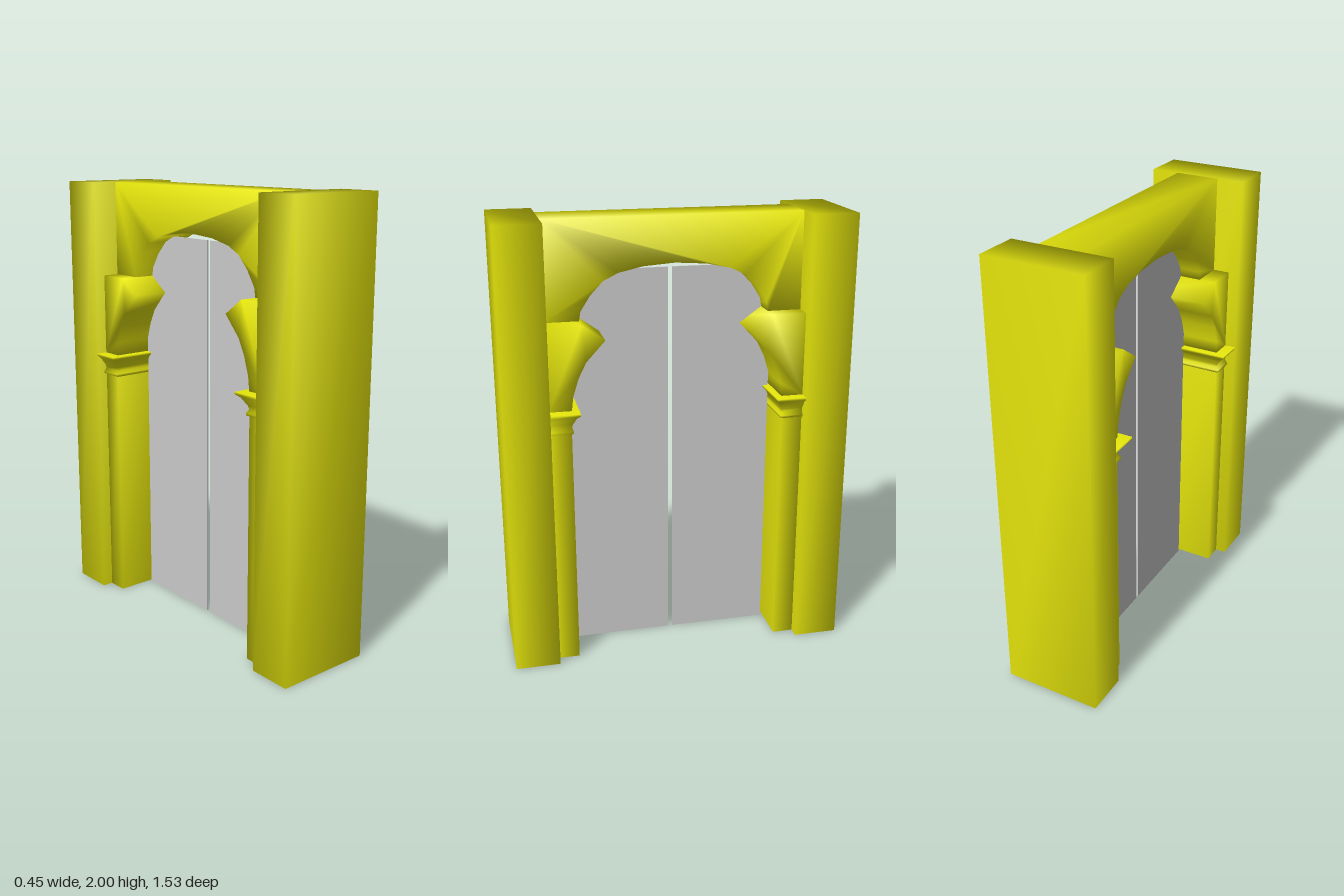
import * as THREE from 'three';
import { mergeVertices } from 'three/addons/utils/BufferGeometryUtils.js';

// Share corners so the shading runs smoothly over the edges
function smooth(geometry) {
  geometry.deleteAttribute('normal');
  geometry.deleteAttribute('uv');
  const merged = mergeVertices(geometry, 1e-4);
  merged.computeVertexNormals();
  return merged;
}

function box(x, y, z) {
  return new THREE.BoxGeometry(x, y, z);
}

// Extrude a (z, y) outline across x, centred on x = 0
function extrudeAcross(shape, width) {
  return new THREE.ExtrudeGeometry(shape, { depth: width, bevelEnabled: false })
    .translate(0, 0, -width / 2)
    .rotateY(-Math.PI / 2);
}

// Stack rectangles [half width, inner z, y] against the pillar face
function stackRings(rings, outerZ) {
  const pos = [], index = [];
  rings.forEach(([w, z, y], i) => {
    pos.push(-w, y, outerZ, w, y, outerZ, w, y, z, -w, y, z);
    if (i === 0) return;
    for (let j = 0; j < 4; j++) {
      const k = (j + 1) % 4, a = (i - 1) * 4, b = i * 4;
      index.push(a + j, a + k, b + k, a + j, b + k, b + j);
    }
  });
  const t = (rings.length - 1) * 4;
  index.push(0, 2, 1, 0, 3, 2, t, t + 1, t + 2, t, t + 2, t + 3);
  const g = new THREE.BufferGeometry();
  g.setAttribute('position', new THREE.Float32BufferAttribute(pos, 3));
  g.setIndex(index);
  g.computeVertexNormals();
  return g;
}

export function createModel() {
  const model = new THREE.Group();
  model.name = 'archedGate';

  const yellow = new THREE.MeshStandardMaterial({ color: 0xe7e70c });
  yellow.name = 'yellow stone';
  const grey = new THREE.MeshStandardMaterial({ color: 0xcccccc });
  grey.name = 'grey door';

  const add = (parent, name, geometry, material) => {
    const mesh = new THREE.Mesh(geometry, material);
    mesh.name = name;
    parent.add(mesh);
    return mesh;
  };

  const FACE = 0.565; // inner face of the pillars

  // Lintel with the upper arch cut out of its underside
  const arch = [[0.415, 1.57], [0.408, 1.61], [0.366, 1.676], [0.31, 1.735],
    [0.245, 1.767], [0.14, 1.79]];
  const lintel = new THREE.Shape();
  lintel.moveTo(FACE, 1.57);
  lintel.lineTo(FACE, 2);
  lintel.lineTo(-FACE, 2);
  lintel.lineTo(-FACE, 1.57);
  arch.forEach(([z, y]) => lintel.lineTo(-z, y));
  lintel.lineTo(0, 1.8);
  [...arch].reverse().forEach(([z, y]) => lintel.lineTo(z, y));
  add(model, 'lintel', smooth(extrudeAcross(lintel, 0.2)), yellow);

  // Pointed bracket that carries the arch
  const bracket = new THREE.Shape([[FACE, 1.2], [FACE, 1.57], [0.415, 1.57], [0.317, 1.5],
    [0.4, 1.41], [0.435, 1.34], [0.46, 1.26], [0.467, 1.2]]
    .map(([z, y]) => new THREE.Vector2(z, y)));

  // Moulded capital, from bottom to top
  const capital = [[0.175, 0.47, 1.095], [0.188, 0.463, 1.1], [0.188, 0.463, 1.11],
    [0.176, 0.469, 1.125], [0.18, 0.466, 1.14], [0.195, 0.457, 1.16],
    [0.205, 0.45, 1.175], [0.225, 0.435, 1.19], [0.225, 0.435, 1.2]];

  // Both sides are the same, turned half way round
  for (const [name, turn] of [['frontSide', 0], ['backSide', Math.PI]]) {
    const side = new THREE.Group();
    side.name = name;
    side.rotation.y = turn;
    add(side, 'pillar', smooth(box(0.45, 2, 0.2)), yellow).position.set(0, 1, 0.665);
    add(side, 'jamb', smooth(box(0.35, 1.1, 0.095)), yellow).position.set(0, 0.55, 0.5175);
    add(side, 'capital', stackRings(capital, FACE), yellow);
    add(side, 'bracket', smooth(extrudeAcross(bracket, 0.35)), yellow);
    add(side, 'door', box(0.008, 1.765, 0.448), grey).position.set(0, 0.8825, 0.234);
    model.add(side);
  }

  return model;
}
